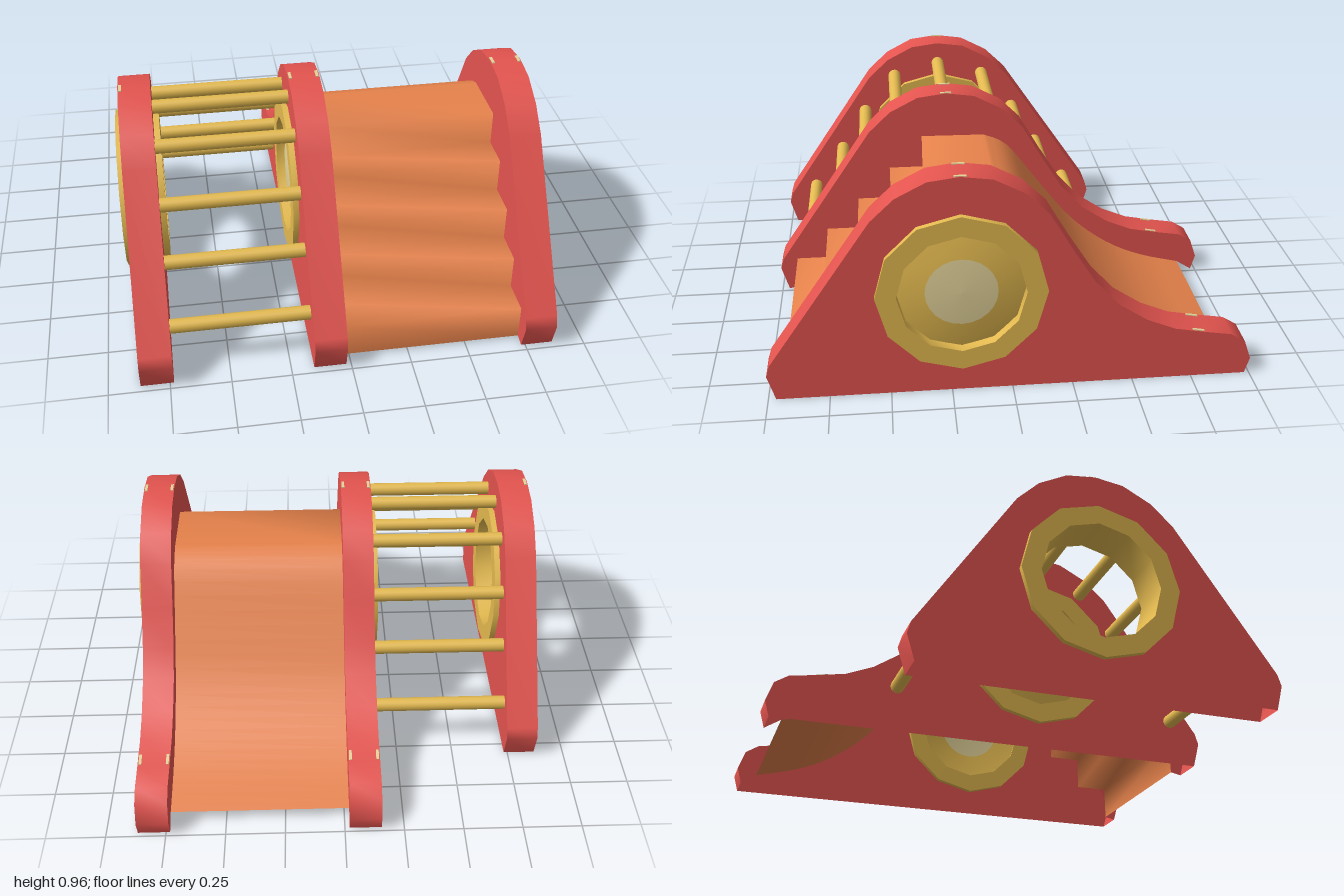
import * as THREE from 'three';
import { toCreasedNormals } from 'three/addons/utils/BufferGeometryUtils.js';

const material = (name, color) =>
  Object.assign(new THREE.MeshStandardMaterial({ color, side: THREE.DoubleSide }), { name });

export function createModel() {
  const red = material('red panel', 0xe4544f);
  const orange = material('orange steps', 0xe6824b);
  const gold = material('gold trim', 0xe4ba50);
  const pale = material('pale window', 0xe4d49a);
  const model = new THREE.Group();
  const CZ = 0.207, CY = 0.46;

  const add = (name, geometry, mat) => {
    const mesh = new THREE.Mesh(geometry, mat);
    mesh.name = name;
    model.add(mesh);
    return mesh;
  };
  // Outlines are lists of [z, y], placed at a given x
  const circle = (r) => Array.from({ length: 12 }, (_, i) => {
    const a = (i / 12) * Math.PI * 2;
    return [CZ + r * Math.cos(a), CY + r * Math.sin(a)];
  });
  const vectors = (pts) => pts.map(([z, y]) => new THREE.Vector2(-z, y));
  const shapeOf = (pts, hole) => {
    const shape = new THREE.Shape(vectors(pts));
    if (hole) shape.holes.push(new THREE.Path(vectors(hole).reverse()));
    return shape;
  };
  const plate = (pts, x, hole) =>
    new THREE.ShapeGeometry(shapeOf(pts, hole)).rotateY(Math.PI / 2).translate(x, 0, 0);
  const ring = (x0, x1) => {
    const g = new THREE.ExtrudeGeometry(shapeOf(circle(0.345), circle(0.26)),
      { depth: x1 - x0, bevelEnabled: false });
    return toCreasedNormals(g.rotateY(Math.PI / 2).translate(x0, 0, 0), 0.7);
  };
  // Smooth open sheet following a line of points
  const strip = (pts, x0, x1) => {
    const g = new THREE.BufferGeometry();
    const position = pts.flatMap(([z, y]) => [x0, y, z, x1, y, z]);
    const index = pts.slice(1).flatMap((_, i) => [0, 1, 2, 1, 3, 2].map((k) => k + 2 * i));
    g.setAttribute('position', new THREE.Float32BufferAttribute(position, 3));
    g.setIndex(index);
    g.computeVertexNormals();
    return g;
  };

  // Stairs, platform and slide as one folded sheet
  const run = [];
  for (let i = 0; i < 5; i++) {
    const z = 0.92 - i * 0.15, y = 0.01 + i * 0.15;
    run.push([z, y], [z, y + 0.15]);
  }
  const slide = new THREE.SplineCurve([[0.04, 0.757], [-0.07, 0.7], [-0.225, 0.5], [-0.38, 0.31],
    [-0.55, 0.175], [-0.72, 0.095], [-0.91, 0.045]].map((p) => new THREE.Vector2(...p)));
  run.push(...slide.getPoints(24).map((p) => [p.x, p.y]));
  add('stairsAndSlide', strip(run, -0.02, 0.733), orange);

  // Panel outlines
  const front = [[0.968, 0], [1, 0.11], [0.985, 0.16], [0.557, 0.787], [0.46, 0.88], [0.335, 0.945]];
  const arch = [...front, [CZ, 0.962], ...front.map(([z, y]) => [2 * CZ - z, y]).reverse()];
  const wave = [...front, [CZ, 0.962], [0.08, 0.945], [-0.045, 0.88], [-0.14, 0.787],
    [-0.235, 0.625], [-0.33, 0.475], [-0.43, 0.365], [-0.55, 0.285], [-0.67, 0.235],
    [-0.805, 0.21], [-0.91, 0.193], [-0.97, 0.155], [-1, 0.07], [-0.98, 0]];

  // Climbing panel: hollow, open below, with a crawl-through ring
  add('climbingPanelRim', strip(arch, -0.87, -0.734), red);
  for (const x of [-0.87, -0.734]) add('climbingPanelWall', plate(arch, x, circle(0.3)), red);
  add('crawlRing', ring(-0.895, -0.709), gold);

  // Slide panels: full outer wall, inner wall only above the stairs and slide
  const guard = [...wave, ...[...run].reverse()];
  for (const [name, outer, inner, out] of [
    ['middlePanel', -0.155, -0.02, -1],
    ['slidePanel', 0.868, 0.733, 1],
  ]) {
    add(name + 'Rim', strip(wave, Math.min(outer, inner), Math.max(outer, inner)), red);
    add(name + 'Wall', plate(wave, outer, circle(0.3)), red);
    add(name + 'InnerWall', plate(guard, inner), red);
    add(name + 'Ring', ring(outer - 0.025, outer + 0.025), gold);
    // Shallow domed window with a pale centre
    for (const [part, profile, mat] of [
      ['Window', [[0.262, -0.02], [0.21, -0.009], [0.147, 0]], gold],
      ['WindowCentre', [[0.147, 0], [0.08, 0.005], [0, 0.007]], pale],
    ]) {
      const dome = new THREE.LatheGeometry(profile.map((p) => new THREE.Vector2(...p)), 24);
      add(name + part, dome.rotateZ(-out * Math.PI / 2), mat).position.set(outer, CY, CZ);
    }
  }

  // Small pale studs along the rim edges
  const stud = new THREE.BoxGeometry(0.012, 0.006, 0.05);
  const studs = [-0.86, -0.145, -0.03, 0.743, 0.858].map((x) => [x, 0.961, CZ, 0]);
  studs.push(...[-0.145, -0.03, 0.743, 0.858].map((x) => [x, 0.217, -0.77, -0.183]));
  for (const [x, y, z, tilt] of studs) {
    const mesh = add('rimStud', stud, pale);
    mesh.position.set(x, y, z);
    mesh.rotation.x = tilt;
  }

  // Climbing bars, mirrored about the arch centre
  const bars = [[0, 0.86], [0.22, 0.8], [0.375, 0.615], [0.5, 0.415], [0.65, 0.205]];
  const barGeometry = new THREE.CylinderGeometry(0.03, 0.03, 0.62, 14).rotateZ(Math.PI / 2);
  for (const [dz, y] of bars) {
    for (const side of dz ? [1, -1] : [1]) {
      add('climbingBar', barGeometry, gold).position.set(-0.445, y, CZ + side * dz);
    }
  }
  return model;
}
